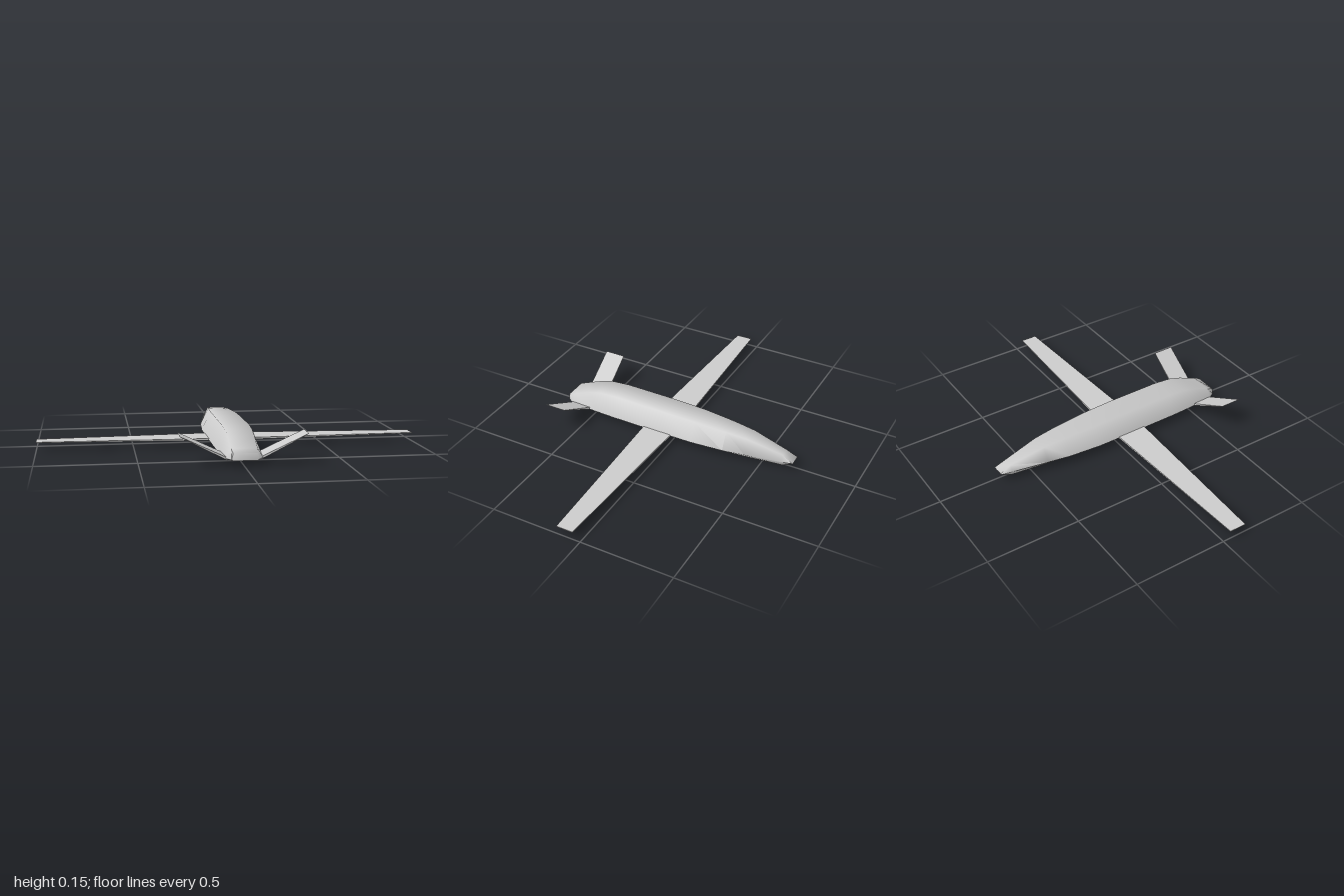
import * as THREE from 'three';
import { toCreasedNormals } from 'three/addons/utils/BufferGeometryUtils.js';

const material = new THREE.MeshStandardMaterial({ color: 0xcccccc });

// Skin a row of closed rings and cap both ends
function loft(name, rings, crease) {
  const n = rings[0].length;
  const index = [];
  for (let j = 0; j < rings.length - 1; j++) {
    for (let i = 0; i < n; i++) {
      const a = j * n + i, b = j * n + (i + 1) % n;
      index.push(a, b, b + n, a, b + n, a + n);
    }
  }
  const last = (rings.length - 1) * n;
  for (let i = 1; i < n - 1; i++) {
    index.push(0, i + 1, i, last, last + i, last + i + 1);
  }
  const geometry = new THREE.BufferGeometry();
  geometry.setAttribute('position', new THREE.Float32BufferAttribute(rings.flat(2), 3));
  geometry.setIndex(index);
  const mesh = new THREE.Mesh(toCreasedNormals(geometry, crease), material);
  mesh.name = name;
  return mesh;
}

// Thin rectangular section of a wing or fin at one span station
const blade = (x, y, lead, trail, t) => [
  [x, y + t, lead], [x, y + t, trail], [x, y - t, trail], [x, y - t, lead],
];

export function createModel() {
  const model = new THREE.Group();
  model.name = 'aircraft';

  // Fuselage stations: z, roof half-width, roof y, chine half-width, chine y, belly half-width, belly y
  const stations = [
    [-0.67, 0.030, 0.049, 0.035, 0.047, 0.030, 0.045],
    [-0.61, 0.027, 0.077, 0.046, 0.046, 0.026, 0.012],
    [-0.42, 0.046, 0.122, 0.080, 0.045, 0.036, 0.001],
    [-0.30, 0.056, 0.133, 0.101, 0.045, 0.042, 0.001],
    [-0.12, 0.066, 0.144, 0.115, 0.045, 0.047, 0.002],
    [0.05, 0.069, 0.149, 0.115, 0.045, 0.048, 0.004],
    [0.36, 0.069, 0.152, 0.111, 0.044, 0.048, 0.005],
    [0.46, 0.067, 0.145, 0.106, 0.043, 0.047, 0.006],
    [0.53, 0.066, 0.126, 0.101, 0.042, 0.049, 0.015],
    [0.63, 0.064, 0.086, 0.092, 0.040, 0.056, 0.030],
    [0.67, 0.060, 0.071, 0.067, 0.040, 0.058, 0.035],
  ];
  const hull = stations.map(([z, rw, ry, cw, cy, bw, by]) => [
    [cw, cy, z], [rw, ry, z], [-rw, ry, z], [-cw, cy, z], [-bw, by, z], [bw, by, z],
  ]);
  model.add(loft('fuselage', hull, 1.25));

  // Straight tapered wing, tip to tip through the body
  model.add(loft('wing', [
    blade(-1, 0.045, 0.04, 0.13, 0.002),
    blade(-0.1, 0.045, 0, 0.165, 0.005),
    blade(0.1, 0.045, 0, 0.165, 0.005),
    blade(1, 0.045, 0.04, 0.13, 0.002),
  ], 0.5));

  // V-tail fins
  for (const [name, side] of [['leftTailFin', 1], ['rightTailFin', -1]]) {
    const rings = [
      blade(side * 0.08, 0.036, 0.513, 0.628, 0.007),
      blade(side * 0.31, 0.154, 0.535, 0.65, 0.001),
    ];
    model.add(loft(name, side > 0 ? rings : rings.reverse(), 0.5));
  }
  return model;
}
